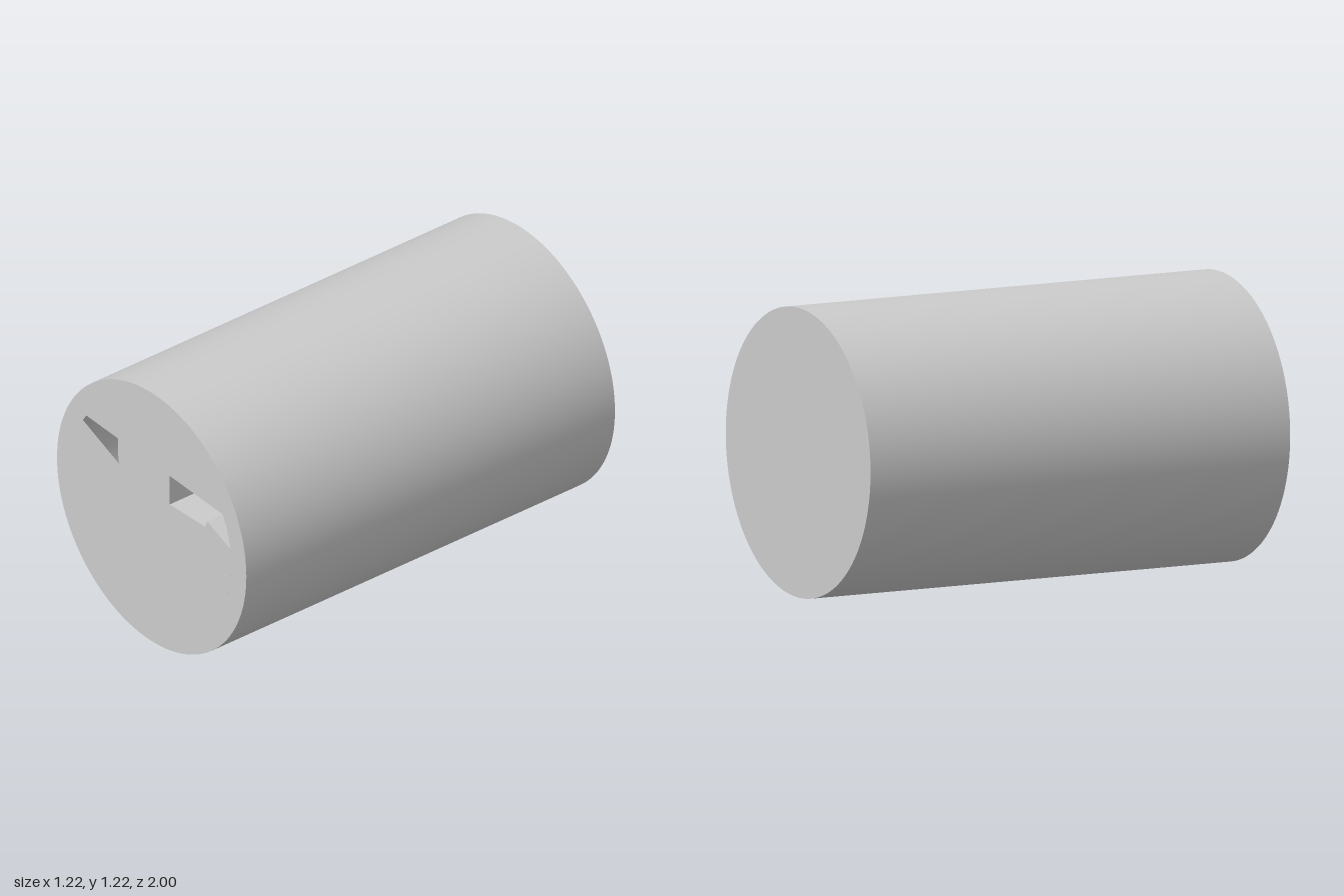
import * as THREE from 'three';

const R = 0.608, BORE = 0.513, TILT = -0.414, SEG = 128;

export function createModel() {
  const model = new THREE.Group();
  const mat = new THREE.MeshStandardMaterial({ color: 0xcccccc, side: THREE.DoubleSide });

  function add(name, geometry, z = 0) {
    const mesh = new THREE.Mesh(geometry, mat);
    mesh.name = name;
    mesh.position.set(0, R, z);
    model.add(mesh);
    return mesh;
  }
  const tube = (r, length) =>
    new THREE.CylinderGeometry(r, r, length, SEG, 1, true).rotateX(Math.PI / 2);
  const disc = (r) => new THREE.Shape().absarc(0, 0, r, 0, Math.PI * 2);
  const polygon = (points) => new THREE.Path(points.map(([x, y]) => new THREE.Vector2(x, y)));
  const slab = (shape, depth) =>
    new THREE.ExtrudeGeometry(shape, { depth, bevelEnabled: false, curveSegments: 64 });

  // Round outer wall and closed back end
  add('outerWall', tube(R, 2));
  add('backEnd', new THREE.CircleGeometry(R, SEG).rotateY(Math.PI), -1);

  // Front end with the wedge-shaped opening, whose short ends follow the bore
  const front = disc(R);
  const opening = new THREE.Path();
  opening.absarc(0, 0, BORE, Math.atan2(-0.15, 0.49), Math.atan2(0.232, 0.457), false);
  opening.absarc(0, 0, BORE, Math.atan2(0.295, -0.42), Math.atan2(0.262, -0.441), false);
  opening.closePath();
  front.holes.push(opening);
  add('frontEnd', new THREE.ShapeGeometry(front, 64), 1);

  // Hollow interior
  add('boreWall', tube(BORE, 1.9), 0.05);
  add('boreFloor', new THREE.CircleGeometry(BORE, SEG), -0.9);

  // Inner plate with a keyed cut-out
  const plate = disc(BORE);
  plate.holes.push(polygon([
    [-0.18, 0.277], [-0.18, 0.239], [-0.13, 0.239], [-0.18, 0.125], [-0.18, -0.127],
    [0.225, -0.127], [0.225, 0.002], [0.25, 0.062], [0.4, 0.0], [0.4, 0.2],
    [0.13, 0.239], [0.13, 0.254],
  ]));
  add('innerPlate', slab(plate, 0.14), 0.61);

  // Tilted stop block on the left of the bore
  const block = new THREE.Shape();
  block.moveTo(0.205, -0.05);
  block.lineTo(Math.sqrt(BORE ** 2 - 0.05 ** 2), -0.05);
  block.absarc(0, 0, BORE, -Math.asin(0.05 / BORE), Math.asin(0.158 / BORE), false);
  block.lineTo(0.205, 0.158);
  block.closePath();
  add('stopBlock', slab(block, 0.11), 0.8).rotation.z = TILT;

  return model;
}
